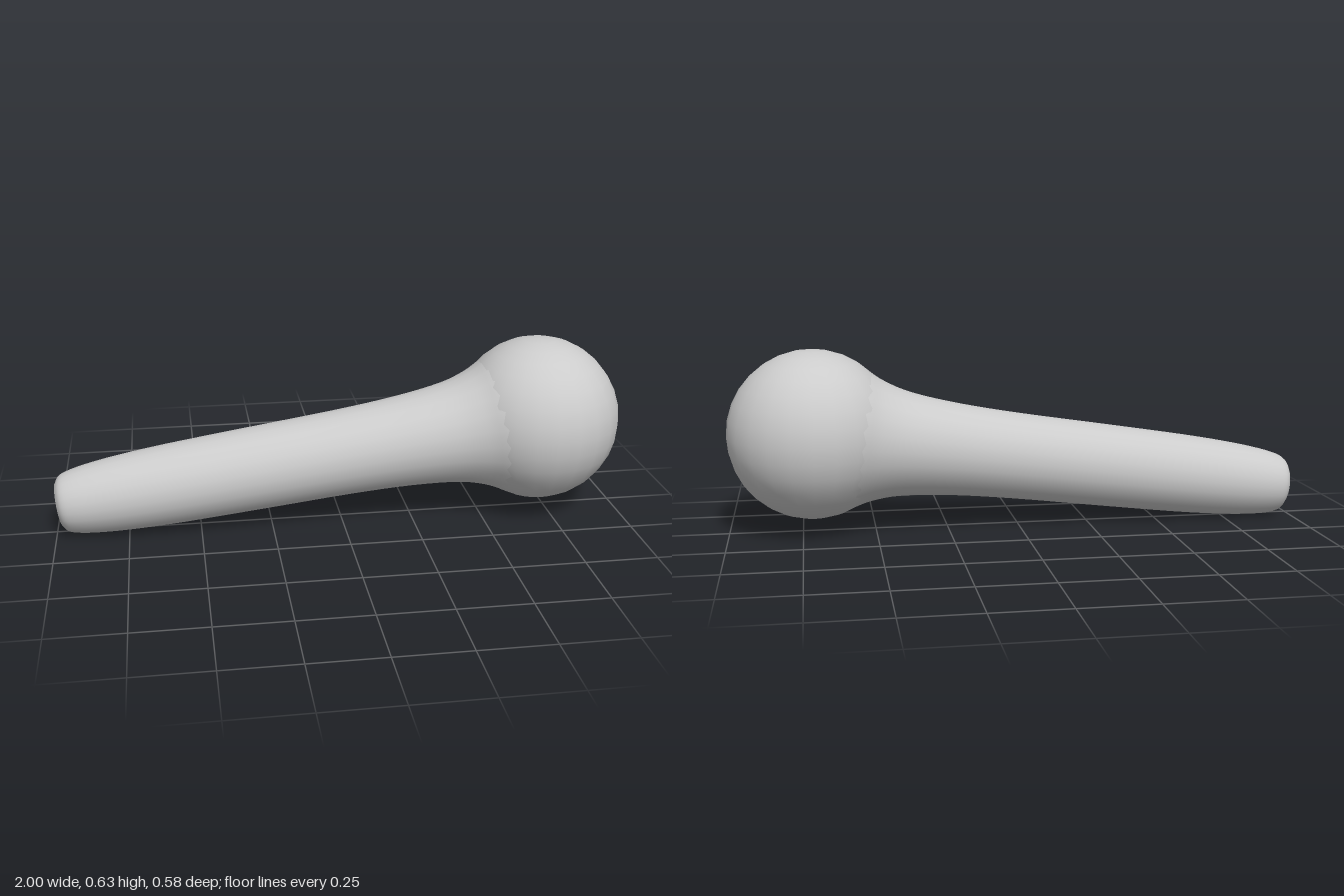
import * as THREE from 'three';

export function createModel() {
  const model = new THREE.Group();
  const material = new THREE.MeshStandardMaterial({ color: 0xcccccc });
  const add = (name, geometry, parent) => {
    const mesh = new THREE.Mesh(geometry, material);
    mesh.name = name;
    parent.add(mesh);
    return mesh;
  };

  // Ball head
  const centre = new THREE.Vector3(0.709, 0.343, 0);
  add('ballHead', new THREE.SphereGeometry(0.291, 24, 16), model).position.copy(centre);

  // Tilted handle group, its local y axis running from the butt to the ball
  const butt = new THREE.Vector3(-0.988, 0.108, 0);
  const handle = new THREE.Group();
  handle.name = 'handle';
  handle.position.copy(butt);
  handle.rotation.z = Math.atan2(centre.y - butt.y, centre.x - butt.x) - Math.PI / 2;
  model.add(handle);

  // Shaft profile (radius, distance from butt): rounded end, slow taper, flare into the ball
  const profile = new THREE.SplineCurve([
    [0.075, 0], [0.096, 0.015], [0.109, 0.045], [0.121, 0.11], [0.132, 0.22],
    [0.141, 0.4], [0.147, 0.7], [0.152, 1.0], [0.162, 1.22], [0.181, 1.39],
    [0.209, 1.49], [0.243, 1.56], [0.262, 1.62],
  ].map(([r, y]) => new THREE.Vector2(r, y)));
  add('shaft', new THREE.LatheGeometry(profile.getPoints(48), 24), handle);

  // Flat butt end
  add('buttCap', new THREE.CircleGeometry(0.075, 24), handle).rotation.x = Math.PI / 2;

  return model;
}
